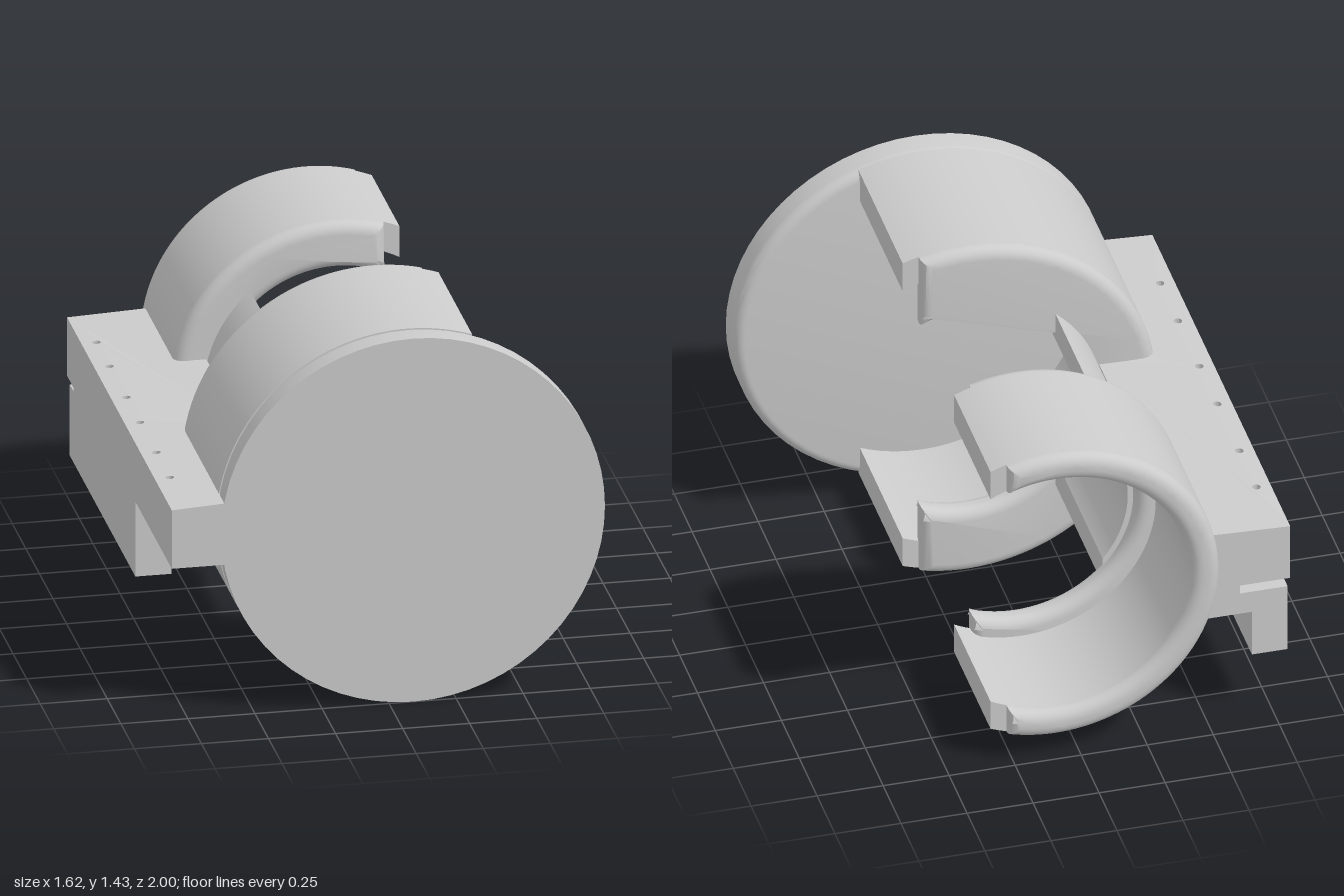
import * as THREE from 'three';
import { toCreasedNormals } from 'three/addons/utils/BufferGeometryUtils.js';

const CX = 0.09, CY = 0.72; // common axis of the disc, cups and link

export function createModel() {
  const group = new THREE.Group();
  const material = new THREE.MeshStandardMaterial({ color: 0xcccccc });

  const add = (name, geometry, x = 0, y = 0, z = 0) => {
    const mesh = new THREE.Mesh(geometry, material);
    mesh.name = name;
    mesh.position.set(x, y, z);
    group.add(mesh);
    return mesh;
  };

  // Ring sector, open towards +x and cut off at x = cut, running z0 to z1
  const ring = (name, inner, outer, cut, z0, z1, round = 0) => {
    const a = Math.acos(cut / outer), b = Math.acos(cut / inner);
    const shape = new THREE.Shape();
    shape.absarc(0, 0, outer, a, 2 * Math.PI - a, false);
    shape.absarc(0, 0, inner, 2 * Math.PI - b, b, true);
    const geometry = new THREE.ExtrudeGeometry(shape, {
      depth: z1 - z0 - 2 * round, curveSegments: 40,
      bevelEnabled: round > 0, bevelSize: round, bevelThickness: round,
      bevelOffset: -round, bevelSegments: 5,
    });
    add(name, toCreasedNormals(geometry, 0.6), CX, CY, z0 + round);
  };

  // Plan outline in (x, z) extruded downwards from top to bottom, with screw holes
  const slab = (points, top, bottom, holes = []) => {
    const shape = new THREE.Shape(points.map(([x, z]) => new THREE.Vector2(x, z)));
    for (const z of holes) {
      shape.holes.push(new THREE.Path().absarc(-0.755, z, 0.016, 0, 2 * Math.PI, true));
    }
    const geometry = new THREE.ExtrudeGeometry(shape, {
      depth: top - bottom, bevelEnabled: false, curveSegments: 6,
    });
    return geometry.rotateX(Math.PI / 2).translate(0, top, 0);
  };

  const box = (name, x0, x1, y0, y1, z0, z1) =>
    add(name, new THREE.BoxGeometry(x1 - x0, y1 - y0, z1 - z0),
      (x0 + x1) / 2, (y0 + y1) / 2, (z0 + z1) / 2);

  // Closed front disc, rounded on its rear edge
  const profile = [new THREE.Vector2(0, 0)];
  for (let i = 0; i <= 6; i++) {
    const t = (i / 6) * Math.PI / 2;
    profile.push(new THREE.Vector2(0.675 + 0.04 * Math.sin(t), 0.04 - 0.04 * Math.cos(t)));
  }
  profile.push(new THREE.Vector2(0.715, 0.12), new THREE.Vector2(0, 0.12));
  const disc = new THREE.LatheGeometry(profile, 64).rotateX(Math.PI / 2);
  add('frontDisc', toCreasedNormals(disc, 0.6), CX, CY, 0.88);

  // Front cup: wall and rounded inward flange
  ring('frontCupWall', 0.6, 0.715, 0.24, 0.28, 0.9);
  ring('frontCupFlange', 0.44, 0.715, 0.18, 0.23, 0.33, 0.045);

  // Rear cup: inward flange, wall and rounded rear rim
  ring('rearCupFlange', 0.44, 0.62, 0.18, -0.49, -0.39, 0.045);
  ring('rearCupWall', 0.51, 0.62, 0.24, -0.95, -0.44);
  ring('rearCupRim', 0.51, 0.62, 0.18, -1, -0.9, 0.045);

  // Curved link between the cups
  ring('curvedLink', 0.42, 0.5, -0.325, -0.43, 0.27);

  // Mounting rail along the side, its top rising slightly towards the cups
  const holes = [-0.66, -0.42, -0.11, 0.14, 0.44, 0.69];
  const rail = slab([
    [-0.81, -0.93], [-0.45, -0.93], [-0.45, -0.42], [-0.4, -0.42],
    [-0.4, 0.27], [-0.55, 0.27], [-0.55, 1], [-0.81, 1],
  ], 0.84, 0.6, holes);
  const pos = rail.attributes.position;
  for (let i = 0; i < pos.count; i++) {
    if (pos.getY(i) > 0.7) pos.setY(i, 0.83 + 0.06 * Math.min(pos.getX(i) + 0.81, 0.25));
  }
  rail.computeVertexNormals();
  add('mountingRail', rail);

  // Step beneath the rail, notched at the rear for the slot
  add('railStep', slab([
    [-0.665, -0.86], [-0.62, -0.86], [-0.62, -0.93], [-0.43, -0.93],
    [-0.43, -0.42], [-0.36, -0.42], [-0.36, 0.28], [-0.665, 0.28],
  ], 0.6, 0.475));
  box('stepSlotFloor', -0.665, -0.62, 0.475, 0.565, -0.93, -0.86);

  // Hanging leg with screw holes, lower at the rear slot
  add('railLeg', slab([
    [-0.8, -0.86], [-0.665, -0.86], [-0.665, 0.28], [-0.8, 0.28],
  ], 0.6, 0.285, holes.slice(0, 4)));
  box('legSlotFloor', -0.8, -0.665, 0.285, 0.565, -0.93, -0.86);

  return group;
}
